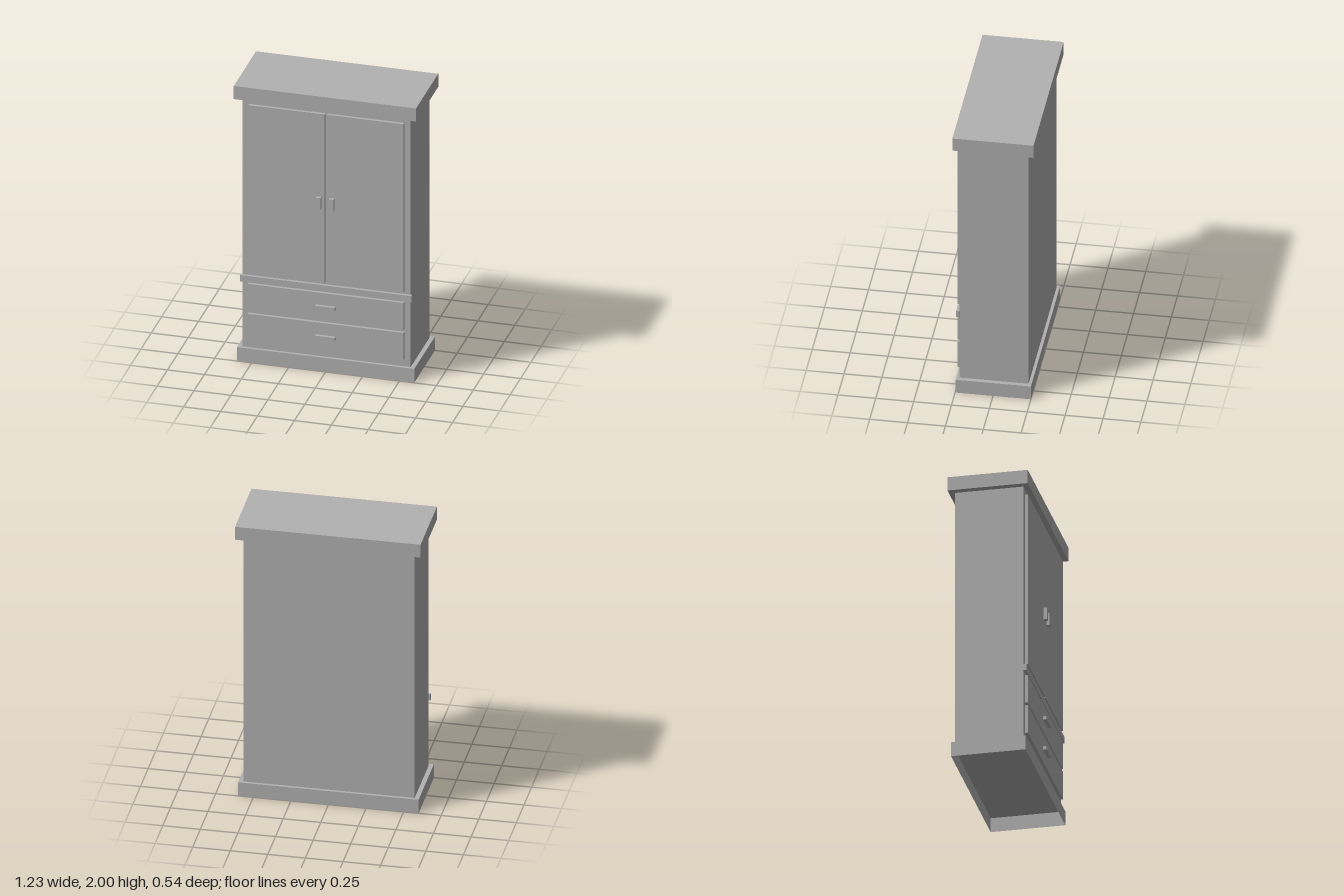
import * as THREE from 'three';

export function createModel() {
  const model = new THREE.Group();
  model.name = 'wardrobe';

  const grey = new THREE.MeshStandardMaterial({ color: 0xb2b2b2 });
  grey.name = 'plain grey';
  const greyOpen = new THREE.MeshStandardMaterial({ color: 0xb2b2b2, side: THREE.DoubleSide });
  greyOpen.name = 'plain grey, open shell';

  // Box given by its extents along each axis
  function box(name, [x0, x1], [y0, y1], [z0, z1], material = grey) {
    const geometry = new THREE.BoxGeometry(x1 - x0, y1 - y0, z1 - z0);
    const mesh = new THREE.Mesh(geometry, material);
    mesh.position.set((x0 + x1) / 2, (y0 + y1) / 2, (z0 + z1) / 2);
    mesh.name = name;
    model.add(mesh);
    return mesh;
  }

  const bodyFront = 0.227;
  const panelFront = 0.248;
  const handleFront = 0.27;

  // Carcass and cornice
  box('body', [-0.57, 0.57], [0.1, 1.905], [-0.23, bodyFront]);
  box('cornice', [-0.617, 0.617], [1.905, 2], [-0.27, 0.266]);

  // Plinth, open underneath: drop the bottom face (fourth group of the box)
  const plinth = box('plinth', [-0.6, 0.6], [0, 0.1], [-0.25, 0.248], greyOpen);
  const index = Array.from(plinth.geometry.index.array);
  index.splice(18, 6);
  plinth.geometry.setIndex(index);
  plinth.geometry.clearGroups();

  // Rail between doors and drawers
  box('middleRail', [-0.58, 0.58], [0.58, 0.625], [bodyFront, panelFront]);

  // Mirrored doors with upright handles
  for (const [side, s] of [['left', 1], ['right', -1]]) {
    const span = (a, b) => (s > 0 ? [a, b] : [-b, -a]);
    box(side + 'Door', span(0.006, 0.527), [0.645, 1.865], [bodyFront, panelFront]);
    box(side + 'DoorHandle', span(0.029, 0.06), [1.18, 1.265], [panelFront, handleFront]);
  }

  // Two drawers with bar handles
  for (const [name, y] of [['upper', 0.37], ['lower', 0.153]]) {
    box(name + 'Drawer', [-0.527, 0.527], [y, y + 0.198], [bodyFront, panelFront]);
    box(name + 'DrawerHandle', [-0.067, 0.067], [y + 0.087, y + 0.111], [panelFront, handleFront]);
  }

  return model;
}
